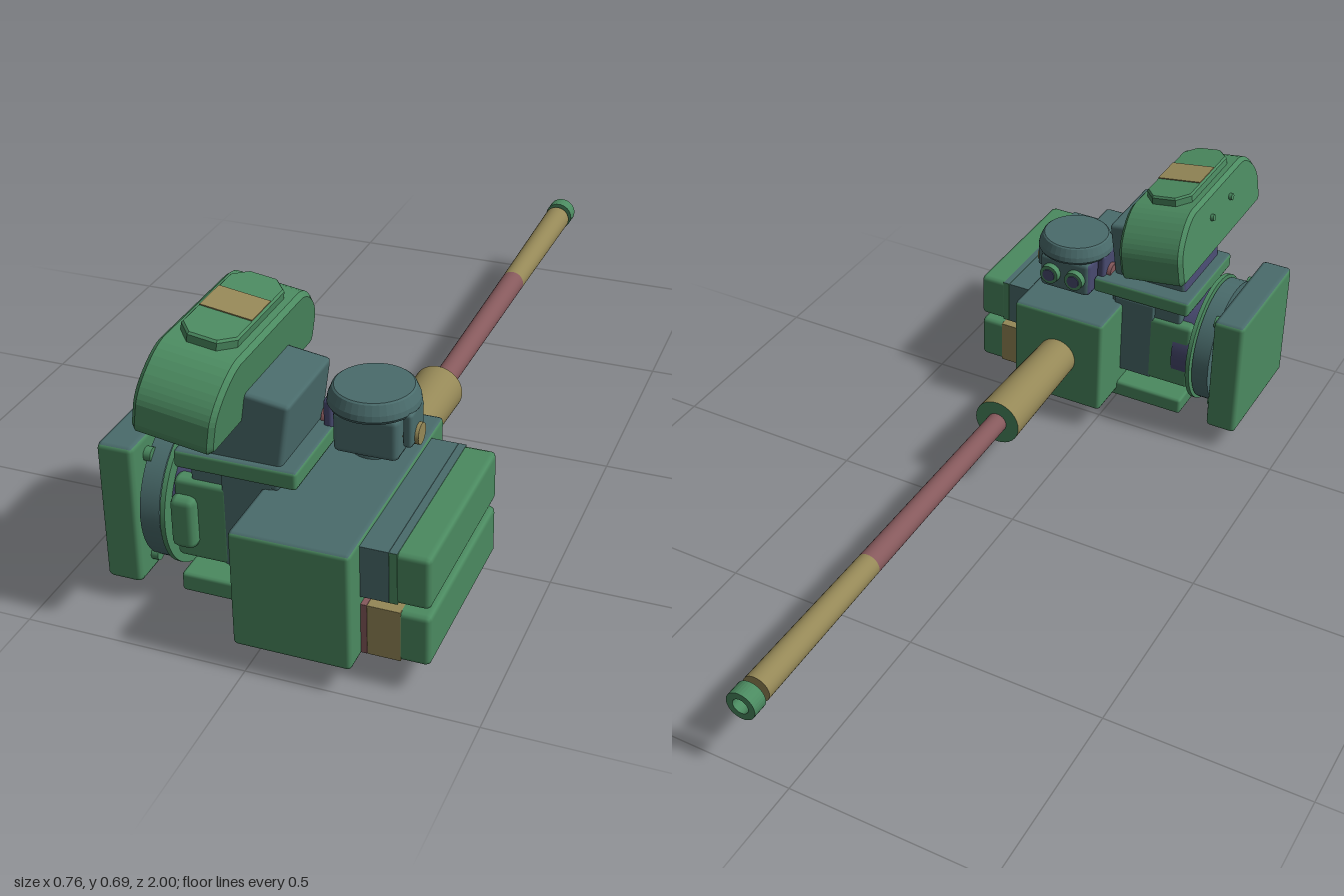
import * as THREE from 'three';
import { RoundedBoxGeometry } from 'three/addons/geometries/RoundedBoxGeometry.js';

export function createModel() {
  const root = new THREE.Group();
  root.name = 'turretAssembly';

  const mat = (name, color) => {
    const m = new THREE.MeshStandardMaterial({ color });
    m.name = name;
    return m;
  };
  const green = mat('green', 0x4b8a60);
  const teal = mat('slateTeal', 0x4a6c6c);
  const tan = mat('tan', 0x958857);
  const rose = mat('rose', 0x86595c);
  const indigo = mat('indigo', 0x484a70);
  // face order: +x, -x, +y, -y, +z, -z
  const tealTop = [green, green, teal, green, green, green];

  const add = (name, geo, material, parent = root) => {
    const m = new THREE.Mesh(geo, material);
    m.name = name;
    parent.add(m);
    return m;
  };
  // softened box given by its extents
  const box = (name, [x0, x1], [y0, y1], [z0, z1], material, r = 0.01, parent = root) => {
    const m = add(name, new RoundedBoxGeometry(x1 - x0, y1 - y0, z1 - z0, 1, r), material, parent);
    m.position.set((x0 + x1) / 2, (y0 + y1) / 2, (z0 + z1) / 2);
    return m;
  };
  // cylinder from a to b along one axis; r0 is the radius at a, r1 at b
  const cyl = (name, axis, a, b, u, v, r0, r1, material, sides = 32, parent = root) => {
    const g = new THREE.CylinderGeometry(r1, r0, b - a, sides);
    const c = (a + b) / 2;
    const m = add(name, g, material, parent);
    if (axis === 'x') { g.rotateZ(-Math.PI / 2); m.position.set(c, u, v); }
    if (axis === 'y') m.position.set(u, c, v);
    if (axis === 'z') { g.rotateX(Math.PI / 2); m.position.set(u, v, c); }
    return m;
  };

  // gun housing
  box('gunHousing', [-0.025, 0.232], [0.062, 0.334], [0.44, 1], tealTop);

  // two ammunition boxes, each painted in bands across x
  const bands = (name, y, list) => list.forEach(([x0, x1, m, r]) =>
    box(name, [x0, x1], y, [0.52, 0.945], m, r));
  bands('upperAmmoBox', [0.206, 0.325], [[0.22, 0.292, teal, 0.001], [0.292, 0.31, [green, green, teal, green, green, green], 0.001]]);
  box('upperAmmoBox', [0.30, 0.378], [0.206, 0.325], [0.52, 0.945], green, 0.012);
  bands('lowerAmmoBox', [0.07, 0.188], [[0.22, 0.245, rose, 0.001], [0.245, 0.316, tan, 0.001]]);
  box('lowerAmmoBox', [0.304, 0.378], [0.07, 0.188], [0.52, 0.945], green, 0.012);

  // barrel
  const bx = 0.104, by = 0.2;
  cyl('barrelSleeve', 'z', 0.11, 0.45, bx, by, 0.061, 0.053, [tan, green, green]);
  cyl('barrelRear', 'z', -0.5, 0.12, bx, by, 0.03, 0.026, rose);
  cyl('barrelFront', 'z', -0.943, -0.5, bx, by, 0.0345, 0.03, tan);
  const ring = [[0.02, -0.02], [0.037, -0.02], [0.037, 0.02], [0.02, 0.02], [0.02, -0.02]]
    .map(p => new THREE.Vector2(...p));
  const ringGeo = new THREE.LatheGeometry(ring, 32).toNonIndexed();
  ringGeo.computeVertexNormals();
  ringGeo.rotateX(Math.PI / 2);
  add('muzzleRing', ringGeo, green).position.set(bx, by, -0.98);

  // side plate and rotating mount
  box('sidePlate', [-0.38, -0.297], [0.054, 0.387], [0.53, 0.87], tealTop, 0.012);
  const my = 0.22, mz = 0.7;
  cyl('mountDrum', 'x', -0.291, -0.246, my, mz, 0.166, 0.166, teal, 48);
  cyl('mountFlange', 'x', -0.241, -0.23, my, mz, 0.173, 0.173, green, 48);
  cyl('mountHub', 'x', -0.25, -0.175, my, mz, 0.142, 0.142, indigo, 48);
  cyl('mountAxle', 'x', -0.31, -0.22, my, mz, 0.08, 0.08, teal);
  for (const sy of [-1, 1]) for (const sz of [-1, 1])
    cyl('mountBolt', 'x', -0.3, -0.281, my + sy * 0.124, mz + sz * 0.108, 0.016, 0.016, green, 12);

  // cradle body between mount and housing
  box('cradleGreenSide', [-0.226, -0.1], [0.124, 0.316], [0.565, 0.836], green, 0.012);
  box('cradleTealSide', [-0.115, 0], [0.124, 0.352], [0.566, 0.835], teal, 0.005);
  box('cradleTop', [-0.188, 0.01], [0.3, 0.355], [0.575, 0.825], teal, 0.006);
  box('cradleLug', [-0.228, -0.171], [0.158, 0.28], [0.6, 0.86], green, 0.016);
  box('topPlate', [-0.213, 0.06], [0.352, 0.394], [0.56, 0.85], tealTop, 0.008);
  box('bottomPlate', [-0.213, 0.0], [0.045, 0.09], [0.55, 0.85], green, 0.008);
  cyl('pivotPost', 'y', 0.08, 0.13, -0.1, mz, 0.061, 0.061, rose);
  cyl('pivotNeck', 'y', 0.03, 0.05, -0.1, mz, 0.04, 0.04, rose);
  cyl('pivotCap', 'y', 0.017, 0.04, -0.098, 0.708, 0.068, 0.068, green);
  cyl('lowerMotor', 'z', 0.67, 0.89, 0.013, 0.061, 0.06, 0.06, tan, 14);

  // tilted sight tower
  const tower = new THREE.Group();
  tower.name = 'sightTower';
  tower.position.set(-0.136, 0.573, 0.72);
  tower.rotation.z = -0.146;
  root.add(tower);
  box('towerBlock', [-0.02, 0.183], [-0.22, -0.012], [-0.11, 0.115],
    [teal, indigo, teal, teal, teal, teal], 0.01, tower);

  const bevel = 0.01;
  const hood = new THREE.Shape();
  hood.moveTo(-0.235, -0.075);
  hood.lineTo(0.235, -0.075);
  hood.quadraticCurveTo(0.246, -0.074, 0.246, -0.06);
  hood.lineTo(0.246, -0.015);
  hood.quadraticCurveTo(0.243, 0.01, 0.22, 0.035);
  hood.quadraticCurveTo(0.185, 0.072, 0.15, 0.076);
  hood.lineTo(-0.15, 0.076);
  hood.quadraticCurveTo(-0.185, 0.072, -0.22, 0.035);
  hood.quadraticCurveTo(-0.243, 0.01, -0.246, -0.015);
  hood.lineTo(-0.246, -0.06);
  hood.quadraticCurveTo(-0.246, -0.074, -0.235, -0.075);
  const hoodGeo = new THREE.ExtrudeGeometry(hood, {
    depth: 0.155, bevelSize: bevel, bevelThickness: bevel, bevelSegments: 1, curveSegments: 5,
  });
  hoodGeo.translate(0, 0, -0.0775).rotateY(-Math.PI / 2);
  add('sightHood', hoodGeo, green, tower);

  // hood lid with clipped corners and a painted panel
  const lid = new THREE.Shape([[-0.058, -0.11], [-0.03, -0.142], [0.03, -0.142], [0.058, -0.11],
    [0.058, 0.11], [0.03, 0.142], [-0.03, 0.142], [-0.058, 0.11]].map(p => new THREE.Vector2(...p)));
  const lidGeo = new THREE.ExtrudeGeometry(lid, {
    depth: 0.02, bevelSize: 0.004, bevelThickness: 0.005, bevelSegments: 1,
  });
  lidGeo.rotateX(-Math.PI / 2);
  add('hoodLid', lidGeo, green, tower).position.set(0, 0.083, 0);
  add('lidPanel', new THREE.BoxGeometry(0.116, 0.003, 0.09), tan, tower).position.set(0, 0.109, -0.005);
  for (const z of [-0.06, 0.06])
    cyl('hoodScrew', 'x', -0.096, -0.08, 0.02, z, 0.009, 0.009, green, 10, tower);

  // small camera under a round cap
  const cx = 0.136, cz = 0.608;
  const capProfile = [[0, 0.445], [0.096, 0.445], [0.1, 0.452], [0.098, 0.465], [0.089, 0.486], [0.085, 0.489], [0, 0.489]]
    .map(p => new THREE.Vector2(...p));
  const capGeo = new THREE.LatheGeometry(capProfile, 40).toNonIndexed();
  capGeo.computeVertexNormals();
  add('cameraCap', capGeo, teal).position.set(cx, 0, cz);
  box('cameraBody', [0.062, 0.209], [0.342, 0.442], [0.535, 0.67], [teal, indigo, teal, teal, teal, teal], 0.014);
  cyl('cameraStem', 'y', 0.32, 0.455, cx, cz, 0.05, 0.05, teal);
  for (const s of [-1, 1]) {
    box('cameraArm', s < 0 ? [0.037, 0.059] : [0.213, 0.235], [0.375, 0.455], [0.575, 0.655], s < 0 ? indigo : teal, 0.008);
    cyl('cameraLens', 'z', 0.518, 0.55, cx + s * 0.036, 0.392, 0.026, 0.028, green, 20);
    cyl('lensGlass', 'z', 0.515, 0.519, cx + s * 0.036, 0.392, 0.017, 0.017, indigo, 20);
  }
  cyl('leftKnob', 'x', 0.205, 0.243, 0.393, 0.615, 0.024, 0.024, tan, 20);
  cyl('rightKnob', 'x', 0.026, 0.066, 0.393, 0.615, 0.024, 0.024, rose, 20);

  return root;
}
